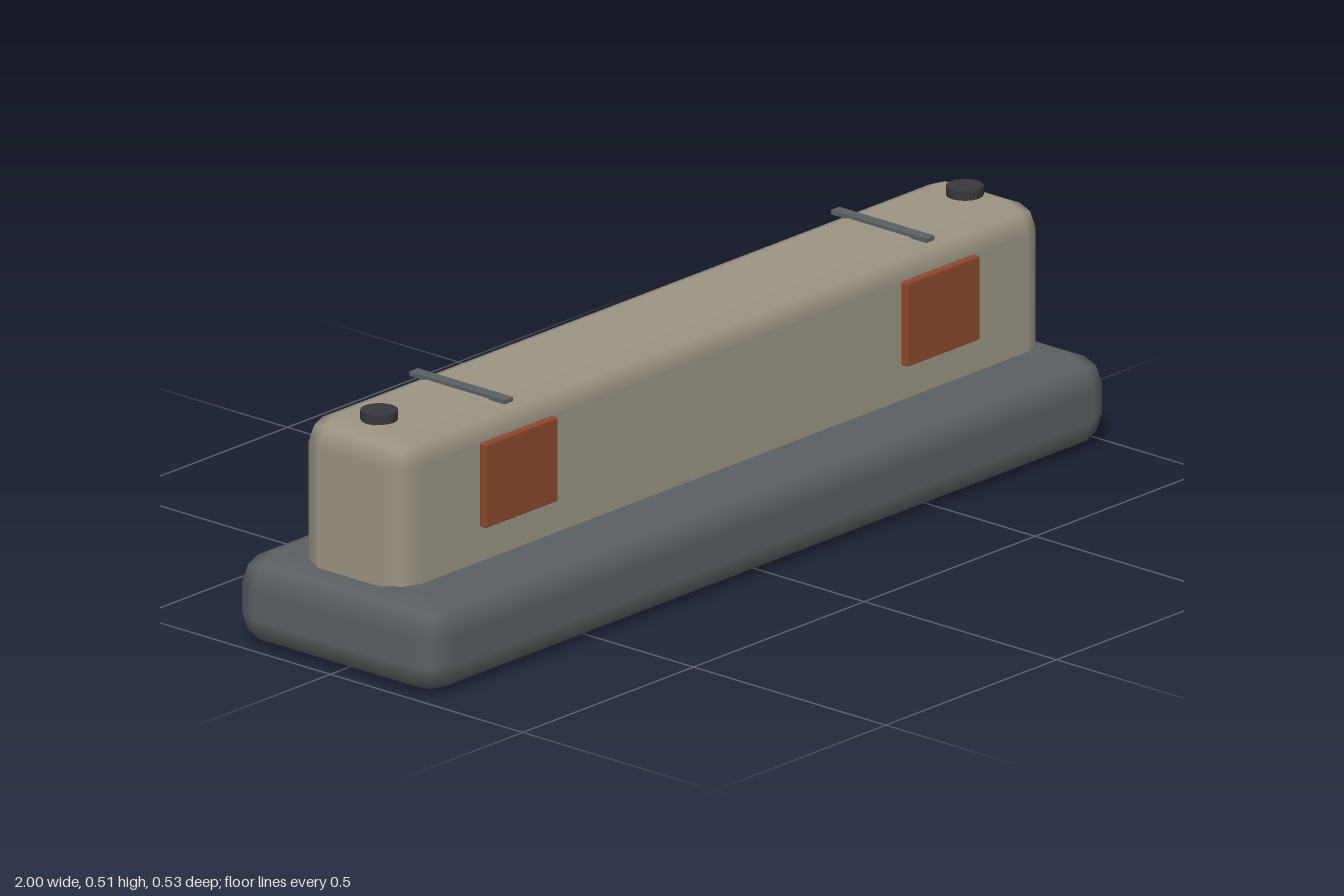
import * as THREE from 'three';
import { RoundedBoxGeometry } from 'three/addons/geometries/RoundedBoxGeometry.js';

const material = (name, color) => {
  const m = new THREE.MeshStandardMaterial({ color });
  m.name = name;
  return m;
};

export function createModel() {
  const slate = material('slate grey', 0x5a6062);
  const stone = material('warm stone', 0x9a9483);
  const rust = material('rust red', 0x8c482c);
  const dark = material('dark cap', 0x36363c);

  const model = new THREE.Group();
  model.name = 'model';
  const add = (name, geometry, mat, x, y, z) => {
    const mesh = new THREE.Mesh(geometry, mat);
    mesh.name = name;
    mesh.position.set(x, y, z);
    model.add(mesh);
  };

  // Wide padded base and the narrow body sunk into it
  add('base', new RoundedBoxGeometry(2, 0.19, 0.532, 1, 0.065), slate, 0, 0.095, 0);
  add('body', new RoundedBoxGeometry(1.89, 0.37, 0.276, 1, 0.058), stone, 0, 0.305, 0);

  // Matching fittings near both ends
  for (const [side, s] of [['left', 1], ['right', -1]]) {
    add(side + 'FrontPanel', new RoundedBoxGeometry(0.212, 0.174, 0.018, 1, 0.004), rust, s * 0.617, 0.351, 0.15);
    add(side + 'TopStrap', new THREE.BoxGeometry(0.025, 0.009, 0.248), slate, s * 0.617, 0.492, 0);
    add(side + 'TopCap', new THREE.CylinderGeometry(0.037, 0.037, 0.02, 16), dark, s * 0.857, 0.499, 0);
  }
  return model;
}
